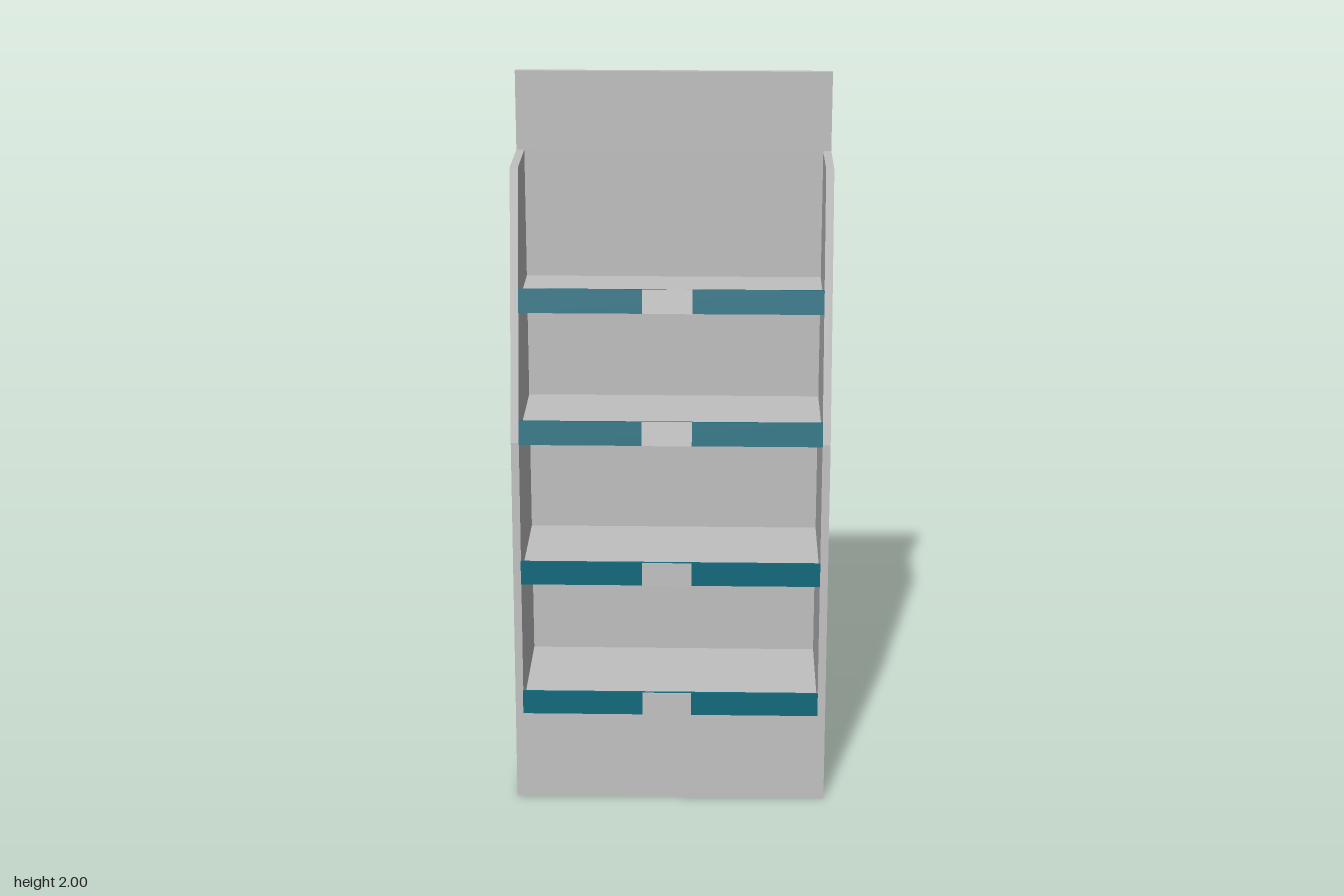
import * as THREE from 'three';

const grey = new THREE.MeshStandardMaterial({ color: 0xc0c0c0 });
grey.name = 'light grey board';
const teal = new THREE.MeshStandardMaterial({ color: 0x0d687a });
teal.name = 'teal strip';

// Front edge of the side panels, as [z, y] from the floor up
const EDGE = [[0.205, 0], [0.167, 1.05], [0.017, 1.78]];
const BACK = -0.203, REAR = -0.22, HALF = 0.435, INNER = 0.413;

// z of the sloping front edge at height y, and its lean angle
function edgeAt(y) {
  const i = y < EDGE[1][1] ? 0 : 1;
  const [z0, y0] = EDGE[i], [z1, y1] = EDGE[i + 1];
  const slope = (z1 - z0) / (y1 - y0);
  return { z: z0 + slope * (y - y0), lean: Math.atan(slope) };
}

export function createModel() {
  const model = new THREE.Group();
  model.name = 'displayStand';

  // Box given by its limits on each axis
  function box(name, x0, x1, y0, y1, z0, z1, material = grey, parent = model) {
    const mesh = new THREE.Mesh(new THREE.BoxGeometry(x1 - x0, y1 - y0, z1 - z0), material);
    mesh.position.set((x0 + x1) / 2, (y0 + y1) / 2, (z0 + z1) / 2);
    mesh.name = name;
    parent.add(mesh);
    return mesh;
  }

  // Side panels: outline in (z, y), extruded across x
  const outline = new THREE.Shape();
  outline.moveTo(-REAR, 0);
  for (const [z, y] of EDGE) outline.lineTo(-z, y);
  outline.lineTo(-REAR, 1.78);
  const sideGeometry = new THREE.ExtrudeGeometry(outline, { depth: HALF - INNER, bevelEnabled: false });
  sideGeometry.rotateY(Math.PI / 2);
  for (const [name, x] of [['rightSide', -HALF], ['leftSide', INNER]]) {
    const side = new THREE.Mesh(sideGeometry, grey);
    side.position.x = x;
    side.name = name;
    model.add(side);
  }

  // Recessed back, header board with folded rim, and front plinth
  box('backPanel', -INNER, INNER, 0.025, 1.78, BACK - 0.004, BACK);
  box('headerBoard', -HALF, HALF, 1.78, 2, BACK - 0.004, BACK);
  box('headerTopRim', -HALF, HALF, 1.995, 2, REAR, BACK - 0.004);
  for (const s of [-1, 1]) {
    const rim = box('headerSideRim', -0.0025, 0.0025, 1.78, 1.995, REAR, BACK - 0.004);
    rim.position.x = s * (HALF - 0.0025);
  }
  const plinth = box('frontPlinth', -INNER, INNER, 0, 0.27, -0.02, 0);
  const foot = edgeAt(0.135);
  plinth.position.z = foot.z - 0.01;
  plinth.rotation.x = foot.lean;

  // Shelves, each with a leaning strip and a small price card
  for (const y of [0.292, 0.678, 1.08, 1.432]) {
    const { z, lean } = edgeAt(y);
    const top = y - 0.012;
    const reach = y > 1.4 ? BACK - 0.007 : BACK;
    box('shelf', -INNER, INNER, top - 0.02, top, reach, z + 0.002);

    const front = new THREE.Group();
    front.name = 'shelfFront';
    front.position.set(0, y, z + 0.006);
    front.rotation.x = lean;
    box('shelfStrip', -INNER, INNER, -0.033, 0.033, -0.004, 0.006, teal, front);
    box('priceCard', -0.078, 0.058, -0.033, 0.033, 0.006, 0.01, grey, front);
    model.add(front);
  }
  return model;
}
